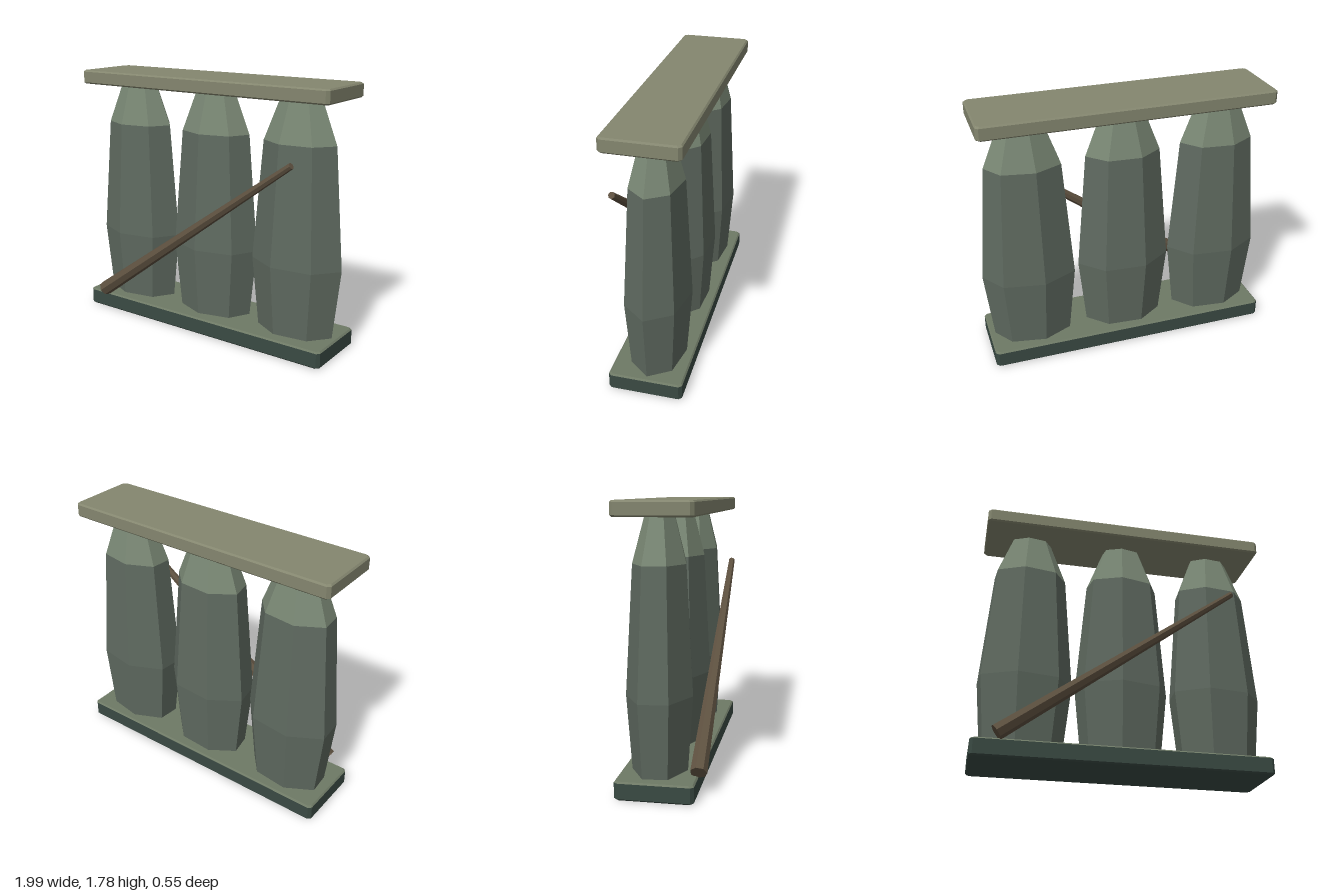
import * as THREE from 'three';

const mat = (color) => new THREE.MeshStandardMaterial({ color, flatShading: true });
const MATS = {
  stone: mat(0x5f6a60), paleStone: mat(0x798774), lintel: mat(0x84866f),
  plinth: mat(0x3a4a43), moss: mat(0x6e7965), wood: mat(0x5e5140),
};

// Closed solid through stacked rings of points (bottom to top, clockwise from above)
function loft(rings) {
  const pos = [];
  const tri = (...pts) => pts.forEach((p) => pos.push(p.x, p.y, p.z));
  const n = rings[0].length;
  for (let r = 0; r < rings.length - 1; r++) {
    const a = rings[r], b = rings[r + 1];
    for (let i = 0; i < n; i++) {
      const j = (i + 1) % n;
      tri(a[j], a[i], b[i]);
      tri(a[j], b[i], b[j]);
    }
  }
  const lo = rings[0], hi = rings[rings.length - 1];
  for (let k = 1; k < n - 1; k++) {
    tri(lo[0], lo[k], lo[k + 1]);
    tri(hi[0], hi[k + 1], hi[k]);
  }
  const g = new THREE.BufferGeometry();
  g.setAttribute('position', new THREE.Float32BufferAttribute(pos, 3));
  g.computeVertexNormals();
  return g;
}

function part(name, geometry, material) {
  const mesh = new THREE.Mesh(geometry, material);
  mesh.name = name;
  return mesh;
}

// Rectangle ring with cut corners, for the slabs
function slabRing(y, inset) {
  const hx = 0.99 - inset, hz = 0.245 - inset, c = 0.02;
  return [[hx, hz - c], [hx - c, hz], [c - hx, hz], [-hx, hz - c],
    [-hx, c - hz], [c - hx, -hz], [hx - c, -hz], [hx, c - hz]]
    .map(([x, z]) => new THREE.Vector3(x - 0.01, y, z - 0.03));
}
const slab = (levels) => loft(levels.map(([y, inset]) => slabRing(y, inset)));

// Seven-sided oval ring, for the standing stones
function stoneRing(cx, turn, y, s) {
  return Array.from({ length: 7 }, (_, i) => {
    const a = THREE.MathUtils.degToRad(turn) + (i / 7) * Math.PI * 2;
    return new THREE.Vector3(cx + 0.33 * s * Math.cos(a), y, -0.043 + 0.213 * s * Math.sin(a));
  });
}

export function createModel() {
  const model = new THREE.Group();
  model.name = 'stoneGate';

  // Base slab with a lighter top, and the lintel slab
  model.add(part('base', slab([[0, 0.01], [0.01, 0], [0.108, 0]]), MATS.plinth));
  model.add(part('baseTop', slab([[0.108, 0], [0.118, 0.01]]), MATS.moss));
  model.add(part('lintel', slab([[1.69, 0.01], [1.7, 0], [1.775, 0], [1.785, 0.01]]), MATS.lintel));

  // Three standing stones, each slightly turned, with a pale shoulder
  [[-0.672, 48.5], [0.0, 44.5], [0.664, 54]].forEach(([cx, turn], i) => {
    const ring = ([y, s]) => stoneRing(cx, turn, y, s);
    const stone = new THREE.Group();
    stone.name = `standingStone${i + 1}`;
    stone.add(part('stoneBody', loft([[0.11, 0.84], [0.595, 1], [1.405, 0.79]].map(ring)), MATS.stone));
    stone.add(part('stoneShoulder', loft([[1.405, 0.79], [1.7, 0.43]].map(ring)), MATS.paleStone));
    model.add(stone);
  });

  // Tapered pole leaning across the front
  const from = new THREE.Vector3(-0.843, 0.15, 0.22);
  const to = new THREE.Vector3(0.747, 1.305, 0.22);
  const dir = to.clone().sub(from);
  const pole = part('leaningPole', new THREE.CylinderGeometry(0.022, 0.054, dir.length(), 7), MATS.wood);
  pole.position.copy(from).add(to).multiplyScalar(0.5);
  pole.quaternion.setFromUnitVectors(new THREE.Vector3(0, 1, 0), dir.normalize());
  model.add(pole);

  return model;
}
